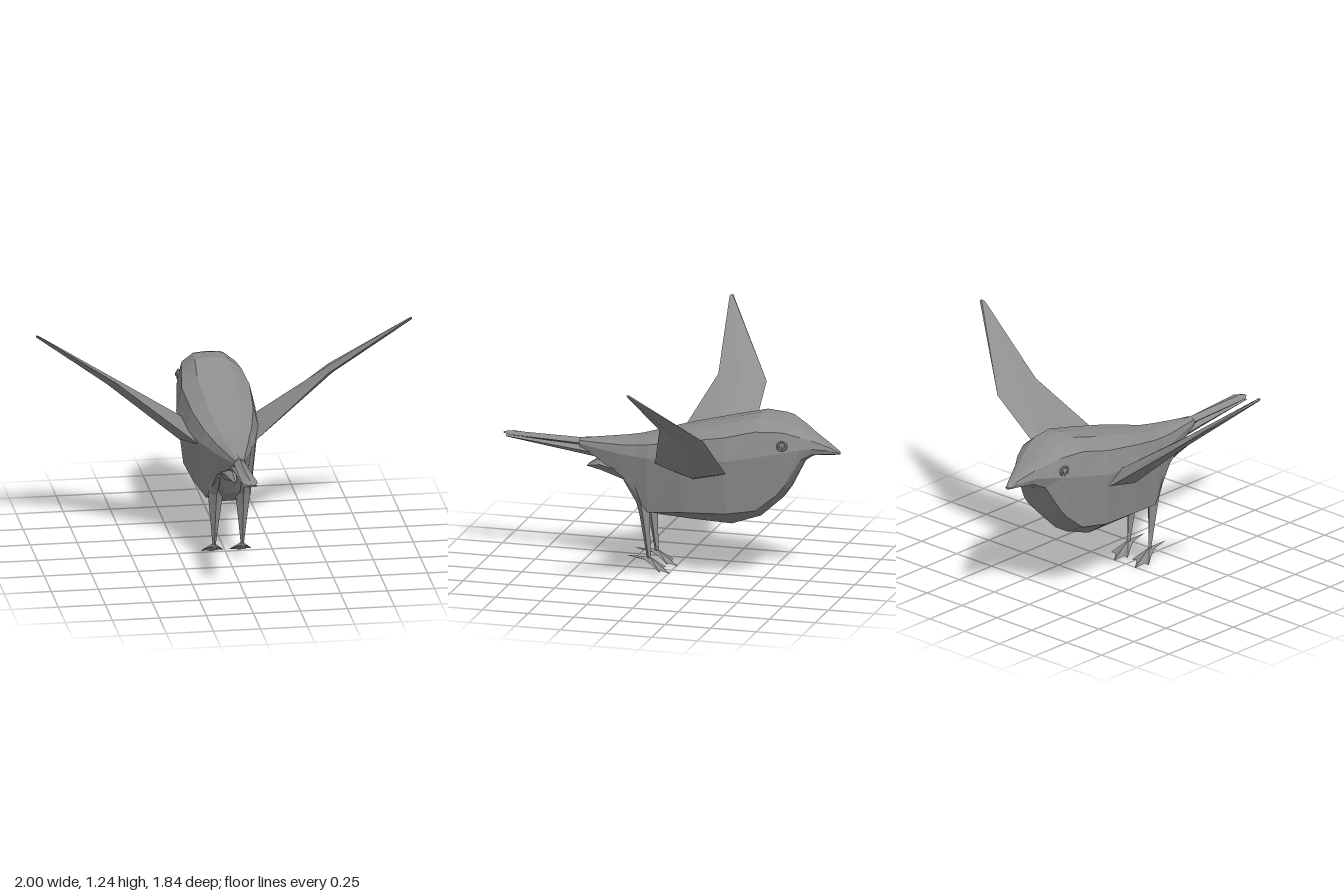
import * as THREE from 'three';

const material = new THREE.MeshStandardMaterial({ color: 0x8e8e8e, flatShading: true, side: THREE.DoubleSide });

// Skin a row of equal-sized point rings into a closed, outward-facing faceted solid.
function loft(name, rings) {
  const tris = [];
  const n = rings[0].length;
  for (let i = 0; i < rings.length - 1; i++) {
    for (let j = 0; j < n; j++) {
      const k = (j + 1) % n;
      const [a, b, c, d] = [rings[i][j], rings[i][k], rings[i + 1][k], rings[i + 1][j]];
      tris.push([a, b, c], [a, c, d]);
    }
  }
  const first = rings[0], last = rings[rings.length - 1];
  for (let j = 1; j < n - 1; j++) {
    tris.push([first[0], first[j + 1], first[j]], [last[0], last[j], last[j + 1]]);
  }
  let volume = 0;
  const v = (p) => new THREE.Vector3(...p);
  for (const [a, b, c] of tris) volume += v(a).dot(v(b).cross(v(c)));
  if (volume < 0) tris.forEach((t) => t.reverse());
  const geometry = new THREE.BufferGeometry();
  geometry.setAttribute('position', new THREE.Float32BufferAttribute(tris.flat(2), 3));
  geometry.computeVertexNormals();
  const mesh = new THREE.Mesh(geometry, material);
  mesh.name = name;
  return mesh;
}

// Diamond section across z, centred on x.
const diamondZ = (x, z, w, top, bottom) => {
  const mid = (top + bottom) / 2;
  return [[x, top, z], [x + w, mid, z], [x, bottom, z], [x - w, mid, z]];
};

// Body from beak tip to rump: z, half width, then top, widest, lower-side and belly heights.
const BODY = [
  [-0.92, 0.012, 0.724, 0.718, 0.713, 0.711],
  [-0.87, 0.035, 0.76, 0.735, 0.715, 0.706],
  [-0.78, 0.08, 0.815, 0.75, 0.715, 0.7],
  [-0.73, 0.12, 0.848, 0.75, 0.69, 0.665],
  [-0.65, 0.158, 0.895, 0.74, 0.55, 0.51],
  [-0.61, 0.168, 0.905, 0.73, 0.5, 0.455],
  [-0.5, 0.185, 0.912, 0.71, 0.41, 0.355],
  [-0.34, 0.21, 0.87, 0.68, 0.385, 0.3],
  [-0.1, 0.19, 0.81, 0.66, 0.37, 0.308],
  [0.1, 0.145, 0.752, 0.645, 0.345, 0.32],
  [0.17, 0.12, 0.732, 0.645, 0.42, 0.385],
  [0.25, 0.1, 0.718, 0.645, 0.52, 0.5],
  [0.4, 0.055, 0.7, 0.655, 0.6, 0.585],
  [0.5, 0.03, 0.69, 0.665, 0.645, 0.635],
];

function bodyRing([z, w, top, mid, low, bottom]) {
  const side = [
    [0.47 * w, top - 0.04 * (top - mid)],
    [0.86 * w, mid + 0.66 * (top - mid)],
    [w, mid],
    [0.82 * w, low],
    [0.22 * w, bottom],
  ];
  const right = side.map(([x, y]) => [x, y, z]);
  const left = side.map(([x, y]) => [-x, y, z]).reverse();
  return [[0, top, z], ...right, ...left];
}

// Raised wing: rings of leading edge, upper ridge, trailing edge, lower ridge.
function makeWing(s) {
  const rings = [
    [[0.13, 0.6, -0.34], [0.1, 0.66, -0.25], [0.1, 0.61, 0.05], [0.13, 0.55, -0.17]],
    [[0.22, 0.62, -0.355], [0.18, 0.67, -0.25], [0.15, 0.625, 0.05], [0.22, 0.58, -0.17]],
    [[0.6, 0.9, -0.345], [0.57, 0.93, -0.21], [0.56, 0.932, -0.092], [0.6, 0.895, -0.21]],
    [[0.985, 1.222, -0.06], [0.985, 1.237, -0.05], [0.98, 1.236, -0.032], [0.99, 1.224, -0.045]],
    [[1, 1.234, -0.05], [0.998, 1.242, -0.045], [0.995, 1.24, -0.036], [1, 1.233, -0.042]],
  ];
  return loft(s > 0 ? 'leftWing' : 'rightWing', rings.map((r) => r.map(([x, y, z]) => [s * x, y, z])));
}

// Feathered thigh narrowing to a thin shank: y, centre x, half width, front z, back z.
function makeLeg(s) {
  const rings = [
    [0.5, 0.065, 0.035, 0.12, 0.25],
    [0.38, 0.072, 0.04, 0.1, 0.175],
    [0.32, 0.073, 0.034, 0.1, 0.158],
    [0.2, 0.074, 0.021, 0.098, 0.136],
    [0.075, 0.075, 0.008, 0.093, 0.114],
  ].map(([y, x, w, front, back]) => {
    const mid = (front + back) / 2;
    return [[s * x, y, front], [s * x + w, y, mid], [s * x, y, back], [s * x - w, y, mid]];
  });
  return loft('leg', rings);
}

// Foot: a faceted star with three forward toes and one hind toe.
function makeFoot(s) {
  const outline = [
    [0, 0.004, -0.012], [0.03, 0.027, 0.035], [0.06, 0.025, 0.03], [0.03, 0.058, 0.085],
    [0.01, 0.077, 0.13], [0, 0.09, 0.23],
    [-0.01, 0.077, 0.13], [-0.03, 0.058, 0.085], [-0.06, 0.025, 0.03], [-0.03, 0.027, 0.035],
  ];
  const ring = (scale, y) => outline.map(([a, b, c]) => [
    s * 0.075 + a * scale, y + (b - y) * scale, 0.1 + (c - 0.1) * scale,
  ]);
  return loft('foot', [ring(0.02, 0.09), ring(1, 0), ring(0.02, 0.066)]);
}

// Eye: a rounded ball inside a raised rim.
function makeEye(s) {
  const eye = new THREE.Group();
  eye.name = s > 0 ? 'leftEye' : 'rightEye';
  const ball = new THREE.Mesh(new THREE.SphereGeometry(0.018, 8, 6), material);
  ball.name = 'eyeball';
  const rim = new THREE.Mesh(new THREE.TorusGeometry(0.023, 0.007, 5, 10), material);
  rim.name = 'eyeRim';
  eye.add(ball, rim);
  eye.position.set(s * 0.154, 0.775, -0.645);
  eye.rotation.y = s * (Math.PI / 2 + 0.3);
  return eye;
}

export function createModel() {
  const bird = new THREE.Group();
  bird.name = 'bird';
  bird.add(loft('body', BODY.map(bodyRing)));

  // Top tail blade
  bird.add(loft('tailBlade', [
    diamondZ(0, 0.4, 0.045, 0.699, 0.63),
    diamondZ(0, 0.5, 0.03, 0.692, 0.645),
    diamondZ(0, 0.88, 0.042, 0.698, 0.677),
    diamondZ(0, 0.92, 0.014, 0.692, 0.682),
  ]));

  for (const s of [1, -1]) {
    // Lower tail feathers and the short coverts under the rump
    bird.add(loft('tailFeather', [
      diamondZ(s * 0.02, 0.38, 0.024, 0.65, 0.594),
      diamondZ(s * 0.018, 0.55, 0.018, 0.66, 0.618),
      diamondZ(s * 0.022, 0.9, 0.014, 0.682, 0.67),
    ]));
    bird.add(loft('underTailFeather', [
      diamondZ(s * 0.04, 0.22, 0.045, 0.6, 0.48),
      diamondZ(s * 0.03, 0.38, 0.03, 0.605, 0.53),
      diamondZ(s * 0.015, 0.46, 0.008, 0.55, 0.543),
    ]));
    bird.add(makeWing(s), makeLeg(s), makeFoot(s), makeEye(s));
  }
  return bird;
}
